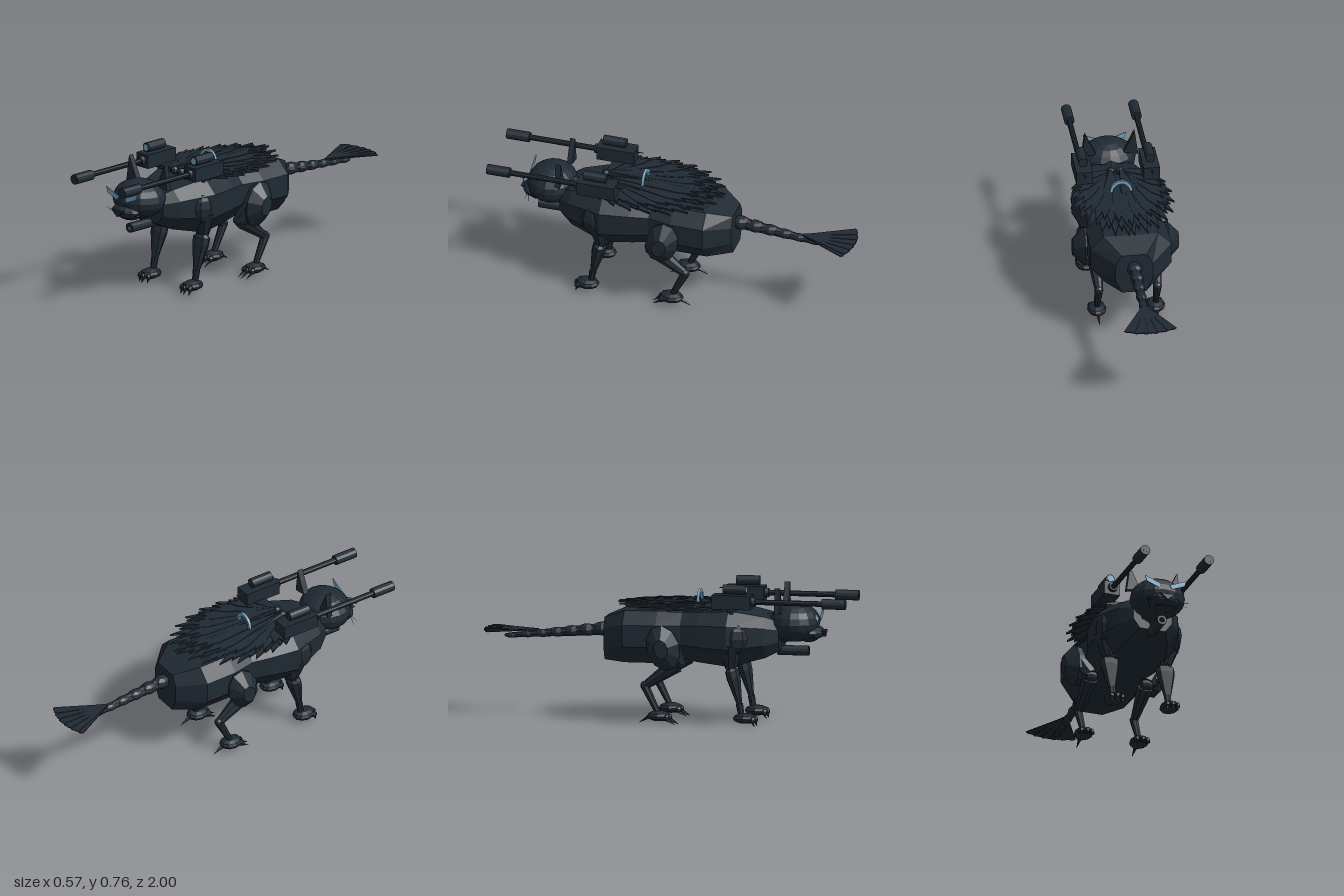
import * as THREE from 'three';

export function createModel() {
  const root = new THREE.Group();
  root.name = 'armouredBeast';
  const dark = new THREE.MeshStandardMaterial({ color: 0x202a33, flatShading: true });
  dark.name = 'darkSteel';
  const blue = new THREE.MeshStandardMaterial({ color: 0x7aa8c8, flatShading: true, side: THREE.DoubleSide });
  blue.name = 'paleBlue';
  const V = (x, y, z) => new THREE.Vector3(x, y, z);

  function add(name, geo, pos = [0, 0, 0], rot = [0, 0, 0], scale = [1, 1, 1], mat = dark) {
    const m = new THREE.Mesh(geo, mat);
    m.name = name;
    m.position.set(...pos);
    m.rotation.set(...rot);
    m.scale.set(...scale);
    root.add(m);
    return m;
  }
  const ball = (name, pos, scale, w = 8, h = 6, rot) =>
    add(name, new THREE.SphereGeometry(1, w, h), pos, rot, scale);
  // Tapered rod between two points, rA at a and rB at b
  function rod(name, a, b, rA, rB, sides = 8, mat = dark, depth = 1) {
    const p = V(...a), q = V(...b), d = q.clone().sub(p);
    const m = add(name, new THREE.CylinderGeometry(rB, rA, d.length(), sides), [0, 0, 0], [0, 0, 0], [1, 1, depth], mat);
    m.position.copy(p).add(q).multiplyScalar(0.5);
    m.quaternion.setFromUnitVectors(V(0, 1, 0), d.normalize());
    return m;
  }
  // Thin extruded outline
  function plate(points, depth) {
    const s = new THREE.Shape(points.map(p => new THREE.Vector2(...p)));
    return new THREE.ExtrudeGeometry(s, { depth, bevelEnabled: false });
  }

  // Torso: octagonal sections [z, half width, bottom, top]
  const sections = [
    [0.62, 0.11, 0.4, 0.555], [0.55, 0.17, 0.365, 0.585], [0.36, 0.242, 0.318, 0.62],
    [0.2, 0.215, 0.335, 0.61], [0.1, 0.19, 0.348, 0.6], [-0.03, 0.215, 0.325, 0.605],
    [-0.21, 0.218, 0.325, 0.605], [-0.335, 0.1, 0.327, 0.555]];
  const pos = [], idx = [];
  for (const [z, w, b, t] of sections) {
    const h = t - b;
    for (const [x, y] of [[0.68, 1], [1, 0.75], [1, 0.33], [0.65, 0], [-0.65, 0], [-1, 0.33], [-1, 0.75], [-0.68, 1]])
      pos.push(x * w, b + y * h, z);
  }
  for (let s = 0; s < sections.length - 1; s++)
    for (let i = 0; i < 8; i++) {
      const a = s * 8 + i, b = s * 8 + (i + 1) % 8;
      idx.push(a, b, a + 8, b, b + 8, a + 8);
    }
  const last = (sections.length - 1) * 8;
  for (let i = 1; i < 7; i++) idx.push(0, i + 1, i, last, last + i, last + i + 1);
  const torso = new THREE.BufferGeometry();
  torso.setAttribute('position', new THREE.Float32BufferAttribute(pos, 3));
  torso.setIndex(idx);
  torso.computeVertexNormals();
  add('torso', torso);

  // Neck, head and muzzle
  rod('neck', [0, 0.5, 0.55], [0, 0.53, 0.66], 0.09, 0.08);
  ball('head', [0, 0.548, 0.69], [0.15, 0.105, 0.135], 16, 10);
  ball('muzzle', [0, 0.496, 0.785], [0.09, 0.039, 0.065], 12, 8);
  ball('jaw', [0, 0.473, 0.765], [0.075, 0.03, 0.055], 10, 6);
  add('nose', plate([[-0.04, 0.508], [0, 0.475], [0.04, 0.508]], 0.02), [0, 0, 0.838]);
  // Chin launcher
  const tube = new THREE.LatheGeometry(
    [[0, -0.085], [0.027, -0.085], [0.027, 0.085], [0.014, 0.085], [0.014, 0.04], [0, 0.04]]
      .map(p => new THREE.Vector2(...p)), 12);
  add('chinTube', tube, [0, 0.395, 0.68], [Math.PI / 2, 0, 0]);
  rod('chinMount', [0, 0.4, 0.62], [0, 0.48, 0.62], 0.015, 0.02);

  function foot(x, z, rear) {
    ball('paw', [x, 0.044, z], [0.052, 0.029, 0.066], 10, 6);
    for (let i = -1; i <= 1; i++) {
      const dx = i * 0.03, tz = z + 0.055 - Math.abs(dx) * 0.3;
      ball('toe', [x + dx, 0.038, tz], [0.015, 0.018, 0.019], 6, 5);
      rod('claw', [x + dx, 0.03, tz], [x + dx, 0.002, tz + (rear ? 0.05 : 0.012)], 0.01, 0.0005, 5);
    }
    if (rear) rod('heelClaw', [x, 0.04, z - 0.05], [x, 0.005, z - 0.11], 0.012, 0.0005, 5);
  }

  for (const s of [1, -1]) {
    const x = s * 0.158;
    // Ears, eyes and whiskers
    add('ear', plate([[s * 0.153, 0.605], [s * 0.134, 0.745], [s * 0.075, 0.62]], 0.03), [0, 0, 0.605]);
    add('eye', plate([[s * 0.117, 0.615], [s * 0.107, 0.583], [s * 0.038, 0.555], [s * 0.023, 0.577], [s * 0.062, 0.593]], 0.006),
      [0, 0, 0.817], [0, 0, 0], [1, 1, 1], blue);
    for (let i = 0; i < 2; i++)
      rod('whisker', [s * 0.06, 0.485, 0.81], [s * 0.135, 0.478 + i * 0.018, 0.785 + i * 0.02], 0.0012, 0.0008, 4);

    // Front leg
    ball('shoulder', [s * 0.195, 0.475, 0.4], [0.045, 0.085, 0.075], 8, 6);
    rod('upperArm', [s * 0.185, 0.45, 0.38], [x, 0.325, 0.37], 0.06, 0.038);
    ball('elbow', [x, 0.323, 0.37], [0.041, 0.028, 0.034]);
    rod('foreLegTop', [x, 0.315, 0.373], [x, 0.295, 0.378], 0.034, 0.054, 8, dark, 0.72);
    rod('foreLegMid', [x, 0.296, 0.378], [x, 0.26, 0.386], 0.054, 0.052, 8, dark, 0.72);
    rod('foreLeg', [x, 0.261, 0.386], [x, 0.12, 0.418], 0.052, 0.02, 8, dark, 0.75);
    rod('foreAnkle', [x, 0.122, 0.418], [x, 0.05, 0.43], 0.02, 0.016);
    foot(x, 0.448, false);

    // Rear leg, with a chamfered oval haunch
    const haunch = new THREE.LatheGeometry(
      [[0, -0.1], [0.85, -0.1], [1, -0.01], [0.42, 0.05], [0, 0.05]].map(p => new THREE.Vector2(...p)), 10);
    haunch.scale(1, 1, 0.72);
    haunch.rotateZ(-Math.PI / 2);
    if (s < 0) haunch.rotateY(Math.PI);
    add('haunch', haunch, [s * 0.235, 0.418, 0.015], [0, 0, 0], [1, 0.125, 0.125]).rotation.x = -0.3;
    rod('thigh', [s * 0.2, 0.42, 0.03], [x, 0.33, 0.09], 0.075, 0.042);
    ball('knee', [x, 0.33, 0.095], [0.042, 0.03, 0.03]);
    rod('shin', [x, 0.325, 0.075], [x, 0.205, -0.095], 0.046, 0.022);
    ball('hock', [x, 0.205, -0.097], [0.025, 0.025, 0.025]);
    rod('rearAnkle', [x, 0.21, -0.1], [x, 0.05, -0.02], 0.024, 0.015);
    foot(x, -0.02, true);

    // Back-mounted cannon with scope
    const gx = s * 0.181;
    add('cannonBody', new THREE.BoxGeometry(0.088, 0.076, 0.21), [gx, 0.674, 0.385]);
    rod('cannonMount', [s * 0.155, 0.59, 0.37], [s * 0.16, 0.64, 0.37], 0.02, 0.02);
    rod('barrelCollar', [gx, 0.675, 0.48], [gx, 0.675, 0.51], 0.028, 0.024, 12);
    rod('barrel', [gx, 0.675, 0.48], [gx, 0.675, 0.88], 0.015, 0.015, 10);
    rod('muzzleBrake', [gx, 0.675, 0.873], [gx, 0.675, 1], 0.028, 0.028, 12);
    rod('muzzleBore', [gx, 0.675, 0.99], [gx, 0.675, 1.001], 0.013, 0.013, 12);
    rod('scope', [gx, 0.74, 0.335], [gx, 0.74, 0.46], 0.026, 0.026, 14);
    rod('scopeLens', [gx, 0.74, 0.455], [gx, 0.74, 0.463], 0.018, 0.018, 14, blue);
    rod('antenna', [gx, 0.695, 0.28], [gx, 0.695, 0.24], 0.004, 0.002, 5);

    // Folded wing: blades fanned from a joint behind the neck
    ball('wingJoint', [s * 0.025, 0.635, 0.4], [0.024, 0.022, 0.025]);
    rod('wingArm', [s * 0.025, 0.638, 0.4], [s * 0.1, 0.635, 0.16], 0.015, 0.01, 6);
    for (let layer = 0; layer < 2; layer++) {
      const n = 17 - layer * 4, reach = 1 - layer * 0.12;
      for (let i = 0; i < n; i++) {
        const a = 0.05 + (i / (n - 1)) * 2.2;
        const k = reach * (i % 2 ? 0.93 : 1);
        const dx = s * 0.275 * Math.sin(a) * k - s * 0.02;
        const dz = (0.12 - 0.39 * Math.cos(a) - 0.4) * k;
        const len = Math.hypot(dx, dz), w = 0.023;
        const g = plate([[0, 0], [w * 0.6, len * 0.3], [w, len * 0.8], [0, len], [-w, len * 0.8], [-w * 0.6, len * 0.3]], 0.011);
        g.rotateX(-Math.PI / 2);
        const m = add('wingBlade', g, [s * 0.02, 0.631 - 0.013 * Math.sin(a) + layer * 0.01 + (i % 2) * 0.003, 0.4]);
        m.rotation.set(0, Math.atan2(-dx, -dz), s * -0.04, 'YXZ');
      }
    }
  }

  // Glowing ring half sunk into the back
  const ring = new THREE.Shape().absarc(0, 0, 0.06, 0, Math.PI * 2, false);
  ring.holes.push(new THREE.Path().absarc(0, 0, 0.044, 0, Math.PI * 2, true));
  add('backRing', new THREE.ExtrudeGeometry(ring, { depth: 0.014, bevelEnabled: false, curveSegments: 20 }),
    [0, 0.652, 0.165], [0, 0, 0], [1, 1, 1], blue);

  // Tail: overlapping tapered segments that droop below the fan
  for (let i = 0; i < 7; i++) {
    const t = i / 6, r = 0.042 - 0.026 * t;
    ball('tailSegment', [0, 0.482 - 0.05 * t, -0.36 - 0.49 * t], [r, r * 0.9, 0.055 - 0.01 * t], 8, 6);
  }
  rod('tailCore', [0, 0.483, -0.32], [0, 0.433, -0.86], 0.034, 0.013);
  // Tail fan
  for (let i = 0; i < 11; i++) {
    const a = (i - 5) / 5 * 0.46, w = 0.017;
    const g = plate([[-0.008, 0], [0.008, 0], [w, 0.283], [0, 0.29], [-w, 0.283]], 0.005).rotateX(-Math.PI / 2);
    add('fanBlade', g, [0, 0.464 + (i % 2) * 0.003, -0.71], [0, a, 0]);
  }
  return root;
}
